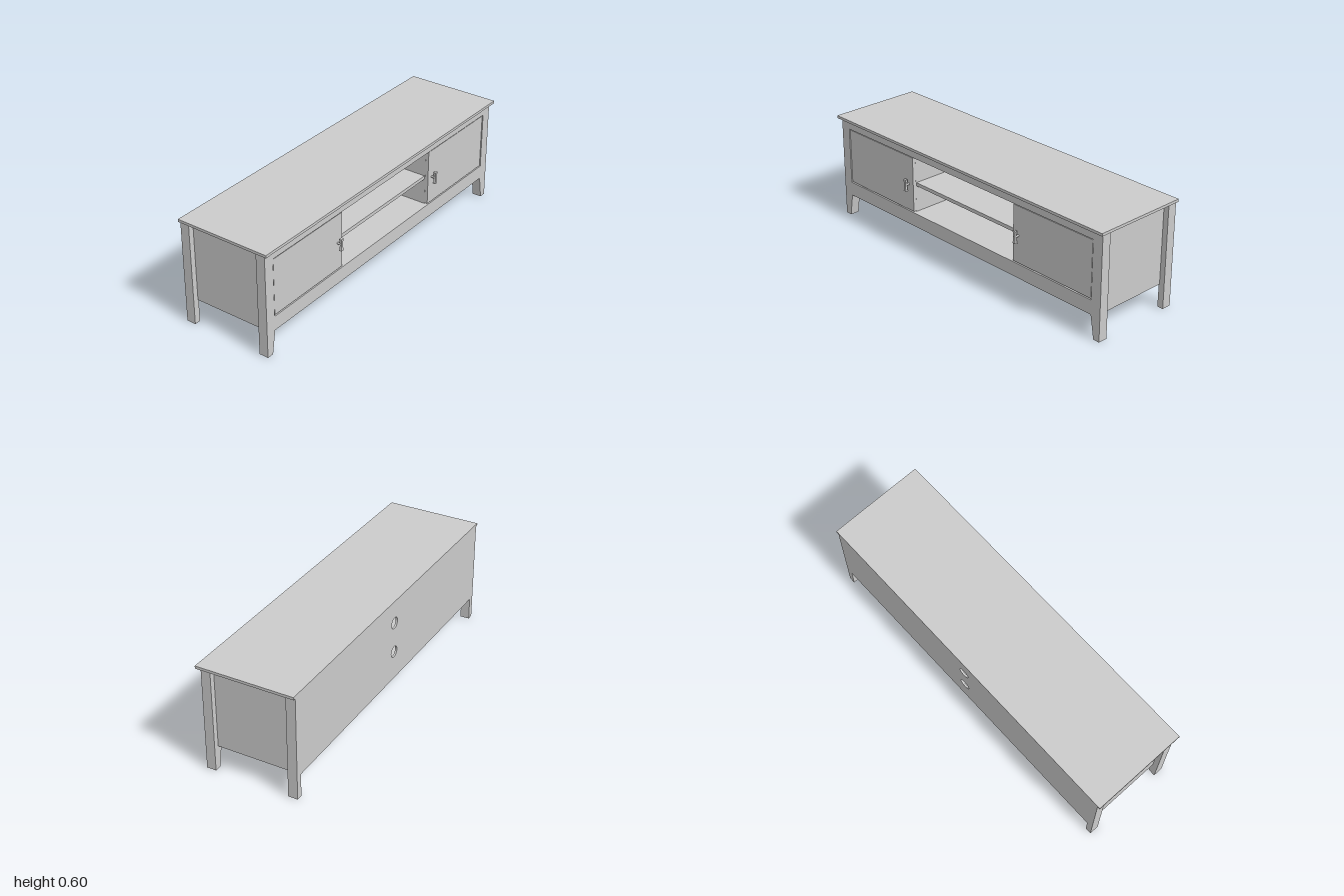
import * as THREE from 'three';

const material = new THREE.MeshStandardMaterial({ color: 0xcccccc });

export function createModel() {
  const group = new THREE.Group();

  function add(name, geometry) {
    const mesh = new THREE.Mesh(geometry, material);
    mesh.name = name;
    group.add(mesh);
    return mesh;
  }

  // Box given by its limits on each axis
  function board(name, x0, x1, y0, y1, z0, z1) {
    const geometry = new THREE.BoxGeometry(x1 - x0, y1 - y0, z1 - z0);
    geometry.translate((x0 + x1) / 2, (y0 + y1) / 2, (z0 + z1) / 2);
    return add(name, geometry);
  }

  // Flat outline in x and y, thickened from z0 to z1
  function plate(name, shape, z0, z1) {
    const geometry = new THREE.ExtrudeGeometry(shape, {
      depth: z1 - z0, bevelEnabled: false, curveSegments: 24,
    });
    geometry.translate(0, 0, z0);
    return add(name, geometry);
  }

  // Top, rails, floor and shelf
  board('top', -1, 1, 0.585, 0.6, -0.275, 0.27);
  board('topRail', -0.925, 0.925, 0.535, 0.585, 0.226, 0.248);
  board('bottomRail', -0.925, 0.925, 0.13, 0.21, 0.226, 0.248);
  board('floor', -0.945, 0.945, 0.137, 0.209, -0.264, 0.226);
  board('shelf', -0.385, 0.385, 0.36, 0.38, -0.264, 0.222);

  // Back panel with two cable holes
  const back = new THREE.Shape([
    [-0.95, 0.13], [0.95, 0.13], [0.95, 0.585], [-0.95, 0.585],
  ].map(([x, y]) => new THREE.Vector2(x, y)));
  for (const y of [0.295, 0.47]) {
    back.holes.push(new THREE.Path().absarc(0, y, 0.032, 0, Math.PI * 2, true));
  }
  plate('backPanel', back, -0.275, -0.264);

  for (const s of [1, -1]) {
    const side = s > 0 ? 'left' : 'right';
    const mirrored = (name, xa, xb, ...rest) =>
      board(side + name, Math.min(s * xa, s * xb), Math.max(s * xa, s * xb), ...rest);

    // Front leg, tapering on its inner edge below the rail
    const leg = new THREE.Shape([
      [0.985, 0], [0.985, 0.585], [0.925, 0.585], [0.925, 0.13], [0.947, 0],
    ].map(([x, y]) => new THREE.Vector2(s * x, y)));
    plate(side + 'FrontLeg', leg, 0.195, 0.248);

    // Straight back leg, inset side panel and divider
    mirrored('BackLeg', 0.95, 0.985, 0, 0.585, -0.275, -0.222);
    mirrored('SidePanel', 0.94, 0.955, 0.13, 0.585, -0.264, 0.195);
    mirrored('Divider', 0.386, 0.4, 0.209, 0.585, -0.264, 0.226);

    // Door with a narrow gap to the frame
    mirrored('Door', 0.385, 0.92, 0.215, 0.53, 0.227, 0.245);

    // Handle: waisted grip on a round post
    const grip = new THREE.BoxGeometry(0.02, 0.068, 0.014, 1, 8, 1);
    const p = grip.attributes.position;
    for (let i = 0; i < p.count; i++) {
      const t = Math.min(1, Math.abs(p.getY(i)) / 0.034);
      p.setX(i, p.getX(i) * (0.6 + 0.4 * t * t));
      p.setZ(i, p.getZ(i) * (0.78 + 0.22 * t * t));
    }
    grip.computeVertexNormals();
    add(side + 'HandleGrip', grip).position.set(s * 0.421, 0.368, 0.268);

    const post = new THREE.CylinderGeometry(0.006, 0.006, 0.024, 16);
    post.rotateX(Math.PI / 2);
    add(side + 'HandlePost', post).position.set(s * 0.421, 0.368, 0.254);
  }

  return group;
}
